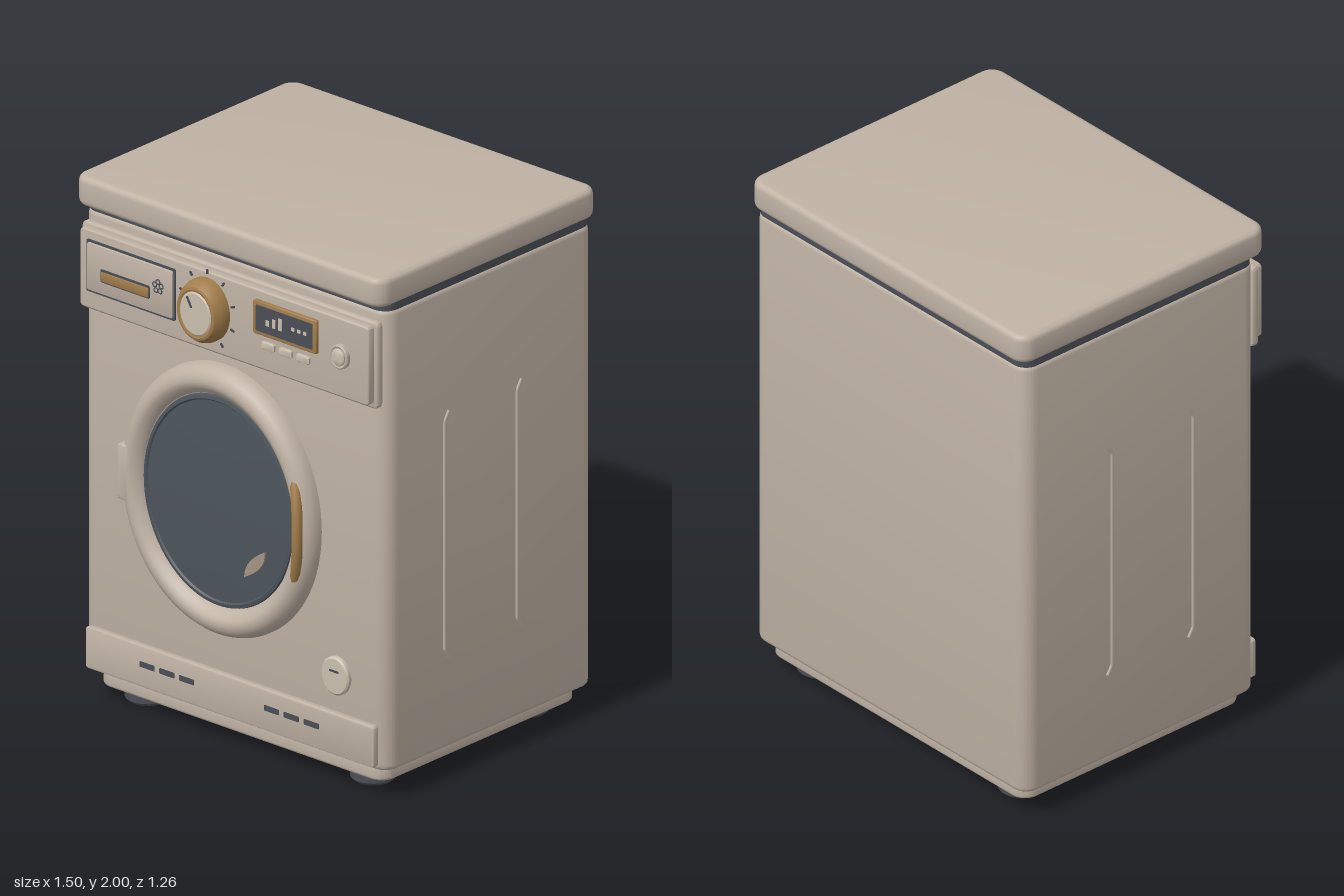
import * as THREE from 'three';
import { toCreasedNormals } from 'three/addons/utils/BufferGeometryUtils.js';

const STRETCH = 1.13; // round front parts are slightly taller than wide
const material = (name, color) => Object.assign(new THREE.MeshStandardMaterial({ color }), { name });

export function createModel() {
  const body = material('warm grey enamel', 0xbfb2a4);
  const cream = material('cream trim', 0xcabeae);
  const dark = material('charcoal', 0x4a4f56);
  const glass = material('dark glass', 0x4c545b);
  const gold = material('brass', 0xa27c4b);
  const shine = material('glass reflection', 0xa39282);

  const machine = new THREE.Group();
  machine.name = 'washingMachine';

  const add = (name, geometry, mat, x = 0, y = 0, z = 0) => {
    const mesh = new THREE.Mesh(geometry, mat);
    mesh.name = name;
    mesh.position.set(x, y, z);
    machine.add(mesh);
    return mesh;
  };

  // Rounded rectangle extruded along +z from z = 0, with softened edges
  const plate = (w, h, depth, r = 0.015, bevel = 0.006) => {
    const a = w / 2, b = h / 2, s = new THREE.Shape();
    s.moveTo(-a + r, -b);
    s.lineTo(a - r, -b).absarc(a - r, -b + r, r, -Math.PI / 2, 0);
    s.lineTo(a, b - r).absarc(a - r, b - r, r, 0, Math.PI / 2);
    s.lineTo(-a + r, b).absarc(-a + r, b - r, r, Math.PI / 2, Math.PI);
    s.lineTo(-a, -b + r).absarc(-a + r, -b + r, r, Math.PI, Math.PI * 1.5);
    const g = new THREE.ExtrudeGeometry(s, {
      depth: depth - 2 * bevel, bevelEnabled: bevel > 0, bevelSize: bevel,
      bevelThickness: bevel, bevelOffset: -bevel, bevelSegments: 4, curveSegments: 8,
    });
    return toCreasedNormals(g.translate(0, 0, bevel), 0.6);
  };
  // The same, lying flat and rising along +y
  const slab = (w, d, h, r, bevel) => plate(w, d, h, r, bevel).rotateX(-Math.PI / 2);

  // Turned part facing +z; profile runs from the outer back edge to the centre
  const turned = (profile, segments = 64) => toCreasedNormals(
    new THREE.LatheGeometry(profile.map(([r, z]) => new THREE.Vector2(r, z)), segments)
      .rotateX(Math.PI / 2).scale(1, STRETCH, 1), 0.6);

  // Cabinet
  add('cabinet', slab(1.432, 1.092, 1.757, 0.06, 0.022), body, 0, 0.11, -0.013);
  add('lidGap', slab(1.424, 1.084, 0.035, 0.055, 0), dark, 0, 1.862, -0.013);
  add('lid', slab(1.448, 1.152, 0.111, 0.06, 0.022), body, 0, 1.889, 0);
  add('plinth', slab(1.345, 1.03, 0.075, 0.06, 0.012), body, 0, 0.053, -0.01);

  // Feet
  const foot = toCreasedNormals(new THREE.LatheGeometry(
    [[0, 0], [0.066, 0], [0.082, 0.014], [0.082, 0.058], [0, 0.058]]
      .map(p => new THREE.Vector2(...p)), 24), 0.6);
  for (const x of [-0.53, 0.53]) for (const z of [-0.41, 0.395]) add('foot', foot, dark, x, 0, z);

  // Pressed ribs on both sides
  for (const side of [-1, 1]) for (const z of [0.23, -0.15]) {
    const path = new THREE.CurvePath();
    const pts = [[-0.022, 0.455], [0, 0.49], [0, 1.36], [-0.022, 1.395]]
      .map(([dz, y]) => new THREE.Vector3(0, y, dz));
    for (let i = 0; i < 3; i++) path.add(new THREE.LineCurve3(pts[i], pts[i + 1]));
    add('sideRib', new THREE.TubeGeometry(path, 60, 0.007, 8), body, side * 0.716, 0, z);
  }

  // Control panel
  add('panelFrame', plate(1.39, 0.33, 0.03, 0.02, 0.008), body, 0.002, 1.665, 0.53);
  add('panelFace', plate(1.356, 0.298, 0.04, 0.015, 0.006), body, 0.002, 1.668, 0.549);
  const face = 0.589;

  // Detergent drawer
  add('drawerGap', plate(0.418, 0.198, 0.004, 0.008, 0), dark, -0.433, 1.685, face);
  add('drawer', plate(0.4, 0.18, 0.012, 0.008, 0.004), body, -0.433, 1.685, face);
  add('drawerGripRim', plate(0.23, 0.05, 0.004, 0.006, 0), dark, -0.4515, 1.667, face + 0.01);
  add('drawerGrip', plate(0.22, 0.036, 0.008, 0.005, 0.002), gold, -0.4515, 1.665, face + 0.01);
  for (let i = 0; i < 5; i++) {
    const t = Math.PI / 2 + i * Math.PI * 0.4;
    add('flowerPetal', new THREE.TorusGeometry(0.009, 0.0025, 6, 14), dark,
      -0.298 + 0.016 * Math.cos(t), 1.7 + 0.018 * Math.sin(t), face + 0.012);
  }

  // Programme knob with its ring of ticks
  const knobX = -0.076, knobY = 1.676;
  add('knobRing', turned([[0.106, 0], [0.106, 0.022], [0.1, 0.045], [0.088, 0.063],
    [0.08, 0.066], [0.072, 0.062], [0, 0.062]]), gold, knobX, knobY, face);
  add('knobCap', turned([[0.074, 0.055], [0.074, 0.062], [0.068, 0.067], [0, 0.067]]), cream, knobX, knobY, face);
  add('knobPointer', plate(0.009, 0.045, 0.004, 0.003, 0), dark, knobX - 0.026, knobY + 0.04, face + 0.065)
    .rotation.z = 0.5;
  for (let i = 0; i < 9; i++) {
    const t = Math.PI / 2 + (i - 4) * 0.64;
    add('knobTick', plate(0.018, 0.008, 0.004, 0.002, 0), dark,
      knobX + 0.126 * Math.cos(t), knobY + 0.126 * STRETCH * Math.sin(t), face).rotation.z = t;
  }

  // Display
  add('displayFrame', plate(0.298, 0.128, 0.016, 0.008, 0.004), gold, 0.3, 1.719, face);
  add('displayScreen', plate(0.266, 0.098, 0.004, 0.005, 0), dark, 0.3, 1.719, face + 0.0145);
  [0.022, 0.034, 0.046].forEach((h, i) =>
    add('displayBar', plate(0.016, h, 0.003, 0.001, 0), cream, 0.222 + i * 0.03, 1.7 + h / 2, face + 0.017));
  for (let i = 0; i < 3; i++) {
    add('displayDot', plate(0.016, 0.014, 0.003, 0.004, 0), cream, 0.342 + i * 0.028, 1.722, face + 0.017);
    add('panelButton', plate(0.06, 0.03, 0.014, 0.008, 0.004), cream, 0.217 + i * 0.082, 1.618, face);
  }

  // Power button
  add('powerButtonRim', turned([[0.041, 0], [0.041, 0.014], [0.036, 0.018], [0.031, 0.014], [0, 0.012]], 32),
    body, 0.554, 1.676, face);
  add('powerButton', turned([[0.029, 0.01], [0.029, 0.02], [0.024, 0.024], [0, 0.025]], 32), cream, 0.554, 1.676, face);

  // Door
  const doorX = -0.041, doorY = 0.947;
  add('doorRing', turned([[0.452, 0.53], [0.452, 0.552], [0.446, 0.572], [0.434, 0.59], [0.418, 0.602],
    [0.4, 0.606], [0.385, 0.602], [0.375, 0.592], [0.362, 0.582], [0.356, 0.565], [0.34, 0.555]], 96),
    body, doorX, doorY, 0);
  add('doorGlass', turned([[0.357, 0.55], [0.35, 0.572], [0.338, 0.575], [0.333, 0.569],
    [0.2, 0.576], [0, 0.58]], 96), glass, doorX, doorY, 0);

  // Leaf-shaped reflection on the glass
  const leaf = new THREE.Shape();
  leaf.moveTo(-0.077, 0);
  leaf.quadraticCurveTo(-0.03, 0.045, 0.077, 0.012);
  leaf.quadraticCurveTo(0.03, -0.04, -0.077, 0);
  add('glassReflection', new THREE.ExtrudeGeometry(leaf, { depth: 0.008, bevelEnabled: false }),
    shine, 0.14, 0.755, 0.571).rotation.z = 0.82;

  // Door handle: an arc along the ring, bowed forward
  const arc = [];
  for (let i = 0; i <= 12; i++) {
    const k = i / 6 - 1, t = k * 0.41;
    arc.push(new THREE.Vector3(0.408 * Math.cos(t), 0.408 * STRETCH * Math.sin(t), 0.613 - 0.028 * k * k));
  }
  add('doorHandle', new THREE.TubeGeometry(new THREE.CatmullRomCurve3(arc), 40, 0.02, 12), gold, doorX, doorY, 0);
  for (const end of [arc[0], arc[12]])
    add('doorHandleEnd', new THREE.SphereGeometry(0.02, 16, 12), gold, doorX + end.x, doorY + end.y, end.z);

  // Hinge
  add('doorHinge', plate(0.064, 0.212, 0.075, 0.018, 0.01), body, -0.462, doorY, 0.53);

  // Drain filter cap
  add('filterCap', turned([[0.064, 0.53], [0.064, 0.546], [0.058, 0.552], [0, 0.553]], 40), cream, 0.486, 0.425, 0);
  add('filterSlot', plate(0.042, 0.008, 0.004, 0.003, 0), dark, 0.486, 0.445, 0.551);

  // Kick plate with vents
  add('kickPlate', plate(1.354, 0.157, 0.03, 0.012, 0.006), body, 0, 0.2085, 0.53);
  for (const x of [-0.385, -0.292, -0.2, 0.2, 0.292, 0.387])
    add('kickVent', plate(0.07, 0.021, 0.004, 0.004, 0), dark, x, 0.218, 0.558);

  // The machine stands turned a little to one side
  machine.rotation.y = -THREE.MathUtils.degToRad(3);
  machine.position.z = -0.02;
  const model = new THREE.Group();
  model.name = 'model';
  model.add(machine);
  return model;
}
